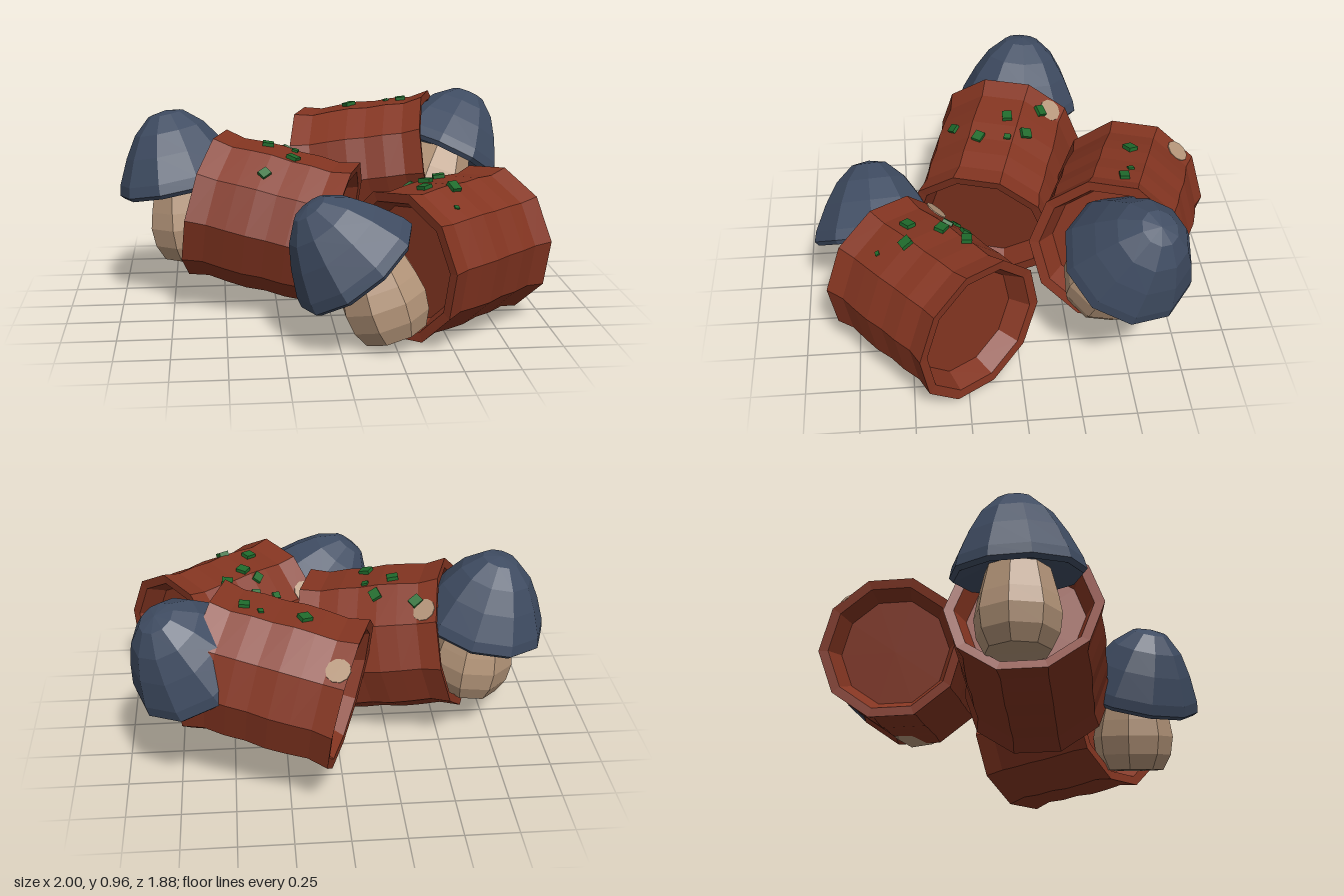
import * as THREE from 'three';

const bark = new THREE.MeshStandardMaterial({ color: 0x843521 });
bark.name = 'red bark';
const blue = new THREE.MeshStandardMaterial({ color: 0x3f4c62 });
blue.name = 'slate blue cap';
const cream = new THREE.MeshStandardMaterial({ color: 0xb5967a });
cream.name = 'tan stem';
const green = new THREE.MeshStandardMaterial({ color: 0x1f6b2c });
green.name = 'moss green';

const V = (a) => new THREE.Vector3(...a);
const UP = new THREE.Vector3(0, 1, 0);

// Faceted lathe; profile runs from bottom centre to top centre
function facetedLathe(profile, sides, phase = 0) {
  const pts = profile.map(([r, y]) => new THREE.Vector2(r, y));
  const flat = new THREE.LatheGeometry(pts, sides, phase).toNonIndexed();
  flat.computeVertexNormals();
  return flat;
}

// Log with a wavy barrel and a recessed plate at both ends, rolled about its axis
function makeLog({ from, to, radius, roll }) {
  const a = V(from), b = V(to);
  const axis = b.clone().sub(a);
  const len = axis.length(), h = len / 2;
  axis.normalize();
  const waves = [1, 0.945, 0.965, 0.975, 0.95, 0.96, 0.94, 1];
  const wall = waves.map((w, i) => [radius * w, -h + (len * i) / (waves.length - 1)]);
  const lip = radius * 0.87, plate = radius * 0.75;
  const profile = [
    [0, -h + 0.1], [plate, -h + 0.1], [lip, -h + 0.005],
    ...wall,
    [lip, h - 0.005], [plate, h - 0.1], [0, h - 0.1],
  ];
  const log = new THREE.Mesh(facetedLathe(profile, 10, roll), bark);
  log.name = 'log';
  const side = new THREE.Vector3().crossVectors(UP, axis).normalize();
  const top = new THREE.Vector3().crossVectors(axis, side);
  // The lathe's x, y and z become the log's top, length and side
  side.crossVectors(top, axis);
  log.quaternion.setFromRotationMatrix(new THREE.Matrix4().makeBasis(top, axis, side));
  log.position.copy(a).add(b).multiplyScalar(0.5);
  log.updateMatrixWorld(true);
  return log;
}

// Cap, placed by the centre of its rim
function makeCap(rimCentre, lean) {
  const cap = new THREE.Mesh(facetedLathe([
    [0, 0.05], [0.17, 0.03], [0.29, -0.02], [0.308, 0.0], [0.295, 0.05],
    [0.235, 0.17], [0.17, 0.27], [0.085, 0.345], [0, 0.36],
  ], 10, Math.PI / 2), blue);
  cap.name = 'cap';
  cap.position.copy(V(rimCentre));
  cap.quaternion.setFromUnitVectors(UP, V(lean).normalize());
  return cap;
}

// Bulging stem between two points
function makeStem(base, tip) {
  const run = V(tip).sub(V(base));
  const len = run.length();
  const stem = new THREE.Mesh(facetedLathe([
    [0, 0], [0.15, 0.005], [0.188, 0.08], [0.2, 0.17], [0.185, 0.25], [0.15, len], [0, len],
  ], 8, Math.PI / 8), cream);
  stem.name = 'stem';
  stem.position.copy(V(base));
  stem.quaternion.setFromUnitVectors(UP, run.normalize());
  return stem;
}

// Drops a small part onto the log surface from above, flush with the face
function placeOnLog(log, mesh, x, z, spin) {
  const ray = new THREE.Raycaster(new THREE.Vector3(x, 3, z), new THREE.Vector3(0, -1, 0));
  const hit = ray.intersectObject(log)[0];
  const normal = hit.face.normal.clone().applyQuaternion(log.quaternion);
  mesh.quaternion.setFromUnitVectors(UP, normal)
    .multiply(new THREE.Quaternion().setFromAxisAngle(UP, spin));
  mesh.position.copy(hit.point);
  return mesh;
}

const LOGS = [
  {
    name: 'leftLog', from: [-0.575, 0.51, -0.06], to: [0.06, 0.375, 0.14], radius: 0.365, roll: 0,
    rim: [-0.7, 0.6, -0.11], lean: [-0.2, 0.97, -0.08],
    base: [-0.65, 0.235, -0.1], tip: [-0.69, 0.62, -0.11], knot: [-0.4, -0.245],
    moss: [[-0.37, -0.19, 1], [-0.19, -0.1, 1], [-0.28, -0.02, 1], [-0.15, -0.01, 0.6],
      [-0.17, 0.13, 1], [-0.31, 0.24, 0.9]],
  },
  {
    name: 'frontLog', from: [0.265, 0.36, 0.6], to: [0.785, 0.375, 0.19], radius: 0.354, roll: -0.12,
    rim: [0.075, 0.385, 0.645], lean: [-0.6, 0.78, 0.06],
    base: [0.25, 0.07, 0.665], tip: [0.13, 0.43, 0.64], knot: [0.12, 0.355],
    moss: [[0.27, 0.27, 0.7], [0.37, 0.23, 0.9], [0.51, 0.23, 1], [0.36, 0.31, 0.9],
      [0.43, 0.34, 1], [0.4, 0.49, 1], [0.53, 0.5, 1], [0.52, 0.63, 0.4]],
  },
  {
    name: 'backLog', from: [-0.03, 0.515, -0.6], to: [0.6, 0.632, -0.39], radius: 0.357, roll: 0,
    rim: [0.655, 0.635, -0.475], lean: [0.45, 0.86, -0.28],
    base: [0.525, 0.33, -0.36], tip: [0.65, 0.66, -0.45], knot: [0.045, -0.805],
    moss: [[0.17, -0.55, 1], [0.36, -0.52, 0.5], [0.43, -0.48, 0.9]],
  },
];

export function createModel() {
  const model = new THREE.Group();
  model.name = 'mushroomLogs';
  for (const spec of LOGS) {
    const group = new THREE.Group();
    group.name = spec.name;
    const log = makeLog(spec);
    const mushroom = new THREE.Group();
    mushroom.name = 'mushroom';
    mushroom.add(makeCap(spec.rim, spec.lean), makeStem(spec.base, spec.tip));
    group.add(log, mushroom);

    // Pale knot lying on the bark
    const knot = new THREE.Mesh(new THREE.CylinderGeometry(0.056, 0.056, 0.009, 10), cream);
    knot.name = 'knot';
    group.add(placeOnLog(log, knot, ...spec.knot, 0));

    // Moss tufts
    spec.moss.forEach(([x, z, size], i) => {
      const tuft = new THREE.Mesh(new THREE.BoxGeometry(0.054 * size, 0.035 * size, 0.047 * size), green);
      tuft.name = 'mossTuft';
      group.add(placeOnLog(log, tuft, x, z, 0.5 + i * 1.3));
    });
    model.add(group);
  }
  return model;
}
